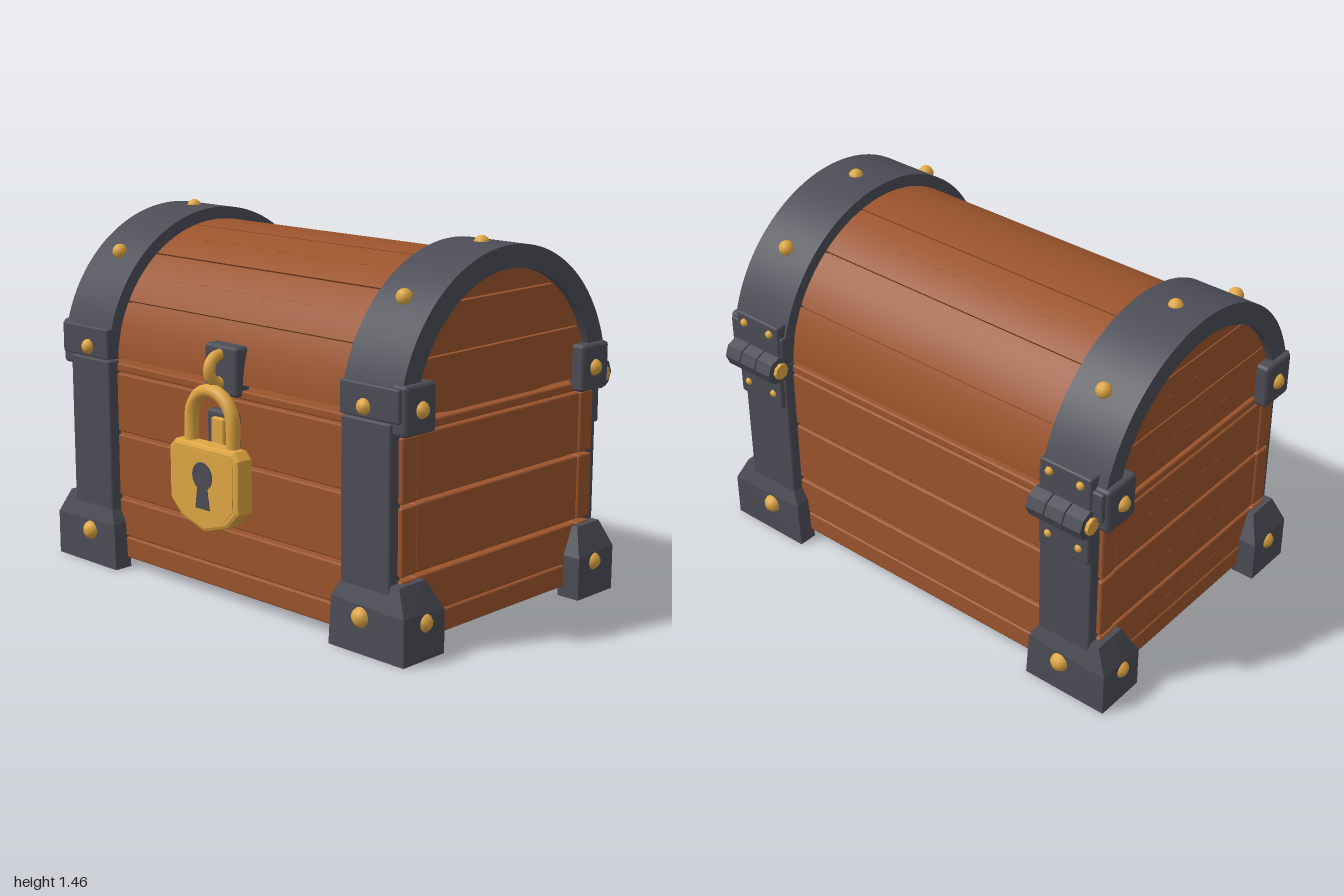
import * as THREE from 'three';
import { toCreasedNormals } from 'three/addons/utils/BufferGeometryUtils.js';
import { RoundedBoxGeometry } from 'three/addons/geometries/RoundedBoxGeometry.js';
import { ConvexGeometry } from 'three/addons/geometries/ConvexGeometry.js';

const material = (name, color) => {
  const m = new THREE.MeshStandardMaterial({ color });
  m.name = name;
  return m;
};

export function createModel() {
  const wood = material('wood', 0x9b542c);
  const iron = material('iron', 0x4c4d56);
  const brass = material('brass', 0xdfa642);

  const chest = new THREE.Group();
  chest.name = 'treasureChest';
  const CY = 0.84; // height of the lid's axis

  const add = (name, geo, mat, parent = chest) => {
    const mesh = new THREE.Mesh(geo, mat);
    mesh.name = name;
    parent.add(mesh);
    return mesh;
  };
  // Box given by its limits, with softened edges
  const block = (name, x0, x1, y0, y1, z0, z1, mat, parent = chest, r = 0.008) => {
    const geo = r ? new RoundedBoxGeometry(x1 - x0, y1 - y0, z1 - z0, 1, r)
      : new THREE.BoxGeometry(x1 - x0, y1 - y0, z1 - z0);
    const mesh = add(name, geo, mat, parent);
    mesh.position.set((x0 + x1) / 2, (y0 + y1) / 2, (z0 + z1) / 2);
  };
  const rivet = (x, y, z, parent, r = 0.034) =>
    add('rivet', new THREE.SphereGeometry(r, 10, 7), brass, parent).position.set(x, y, z);
  const polygon = (pts) => new THREE.Shape(pts.map((p) => new THREE.Vector2(p[0], p[1])));
  // Extrude a side-on shape along x, from x0 to x1
  const alongX = (shape, x0, x1) => {
    const geo = new THREE.ExtrudeGeometry(shape, { depth: x1 - x0, bevelEnabled: false, curveSegments: 32 });
    geo.rotateY(Math.PI / 2).translate(x0, 0, 0);
    return toCreasedNormals(geo, 0.5);
  };
  const arc = (rIn, rOut, a0, a1) => {
    const s = new THREE.Shape();
    s.absarc(0, CY, rOut, a0, a1, false);
    s.absarc(0, CY, rIn, a1, a0, true);
    return s;
  };

  // Body: core with separate planks on all four sides
  block('bodyCore', -0.84, 0.84, 0.05, 0.85, -0.49, 0.49, wood, chest, 0);
  block('bottomBoard', -0.9, 0.9, 0.041, 0.06, -0.55, 0.55, wood, chest, 0);
  const tiers = [[0.04, 0.128], [0.132, 0.288], [0.302, 0.56], [0.572, 0.815], [0.822, 0.857]];
  for (const [y0, y1] of tiers) {
    for (const s of [-1, 1]) {
      const zc = s * 0.515, xc = s * 0.865;
      block('longPlank', -0.91, 0.91, y0, y1, zc - 0.04, zc + 0.04, wood);
      block('endPlank', xc - 0.04, xc + 0.04, y0, y1, -0.474, 0.474, wood);
    }
  }

  // Lid: curved staves over a core, closed by end planks
  add('lidCore', alongX(arc(0.4, 0.535, 0.07, Math.PI - 0.07), -0.875, 0.875), wood);
  block('lidBase', -0.875, 0.875, 0.876, 0.89, -0.53, 0.53, wood, chest, 0);
  const STAVES = 7, a0 = 0.063, step = (Math.PI - 2 * a0) / STAVES;
  for (let i = 0; i < STAVES; i++) {
    const a = a0 + i * step;
    add('lidStave', alongX(arc(0.515, 0.552, a + 0.006, a + step - 0.006), -0.89, 0.89), wood);
  }
  for (const [y0, y1] of [[0.874, 1.077], [1.083, 1.262], [1.268, 1.36]]) {
    const right = [];
    for (let i = 0; i <= 8; i++) {
      const y = y0 + (y1 - y0) * i / 8;
      right.push([Math.sqrt(Math.max(0.0001, 0.522 ** 2 - (y - CY) ** 2)), y]);
    }
    const left = right.map(([z, y]) => [-z, y]).reverse();
    for (const x of [-0.9, 0.86]) add('lidEndPlank', alongX(polygon([...right, ...left]), x, x + 0.04), wood);
  }
  for (const x of [-0.87, 0.85]) add('lidEndCore', alongX(arc(0.001, 0.52, 0.07, Math.PI - 0.07), x, x + 0.02), wood);

  // Wood grain: fine raised slivers in the planks
  let seed = 7;
  const rand = () => (seed = (seed * 16807) % 2147483647) / 2147483647;
  const grain = new THREE.Group();
  grain.name = 'woodGrain';
  chest.add(grain);
  const slivers = (from, to, place) => {
    for (let t = from + rand() * 0.15; t < to - 0.06; t += 0.08 + rand() * 0.08) {
      const sliver = add('grainSliver', new THREE.BoxGeometry(0.02 + rand() * 0.03, 0.003, 0.003), wood, grain);
      place(sliver, t, (rand() - 0.5) * 0.012);
    }
  };
  const endSlivers = (s, y, x, half) => slivers(-half, half, (d, t, j) => {
    d.position.set(s * x, y + j, t);
    d.rotation.y = Math.PI / 2;
  });
  for (const s of [-1, 1]) {
    for (const y of [0.21, 0.43, 0.7]) {
      slivers(-0.55, 0.55, (d, t, j) => d.position.set(t, y + j, s * 0.555));
      endSlivers(s, y, 0.905, 0.36);
    }
    for (const y of [0.97, 1.17]) endSlivers(s, y, 0.9, 0.3);
  }
  for (let i = 0; i < STAVES; i++) {
    const mid = a0 + (i + 0.5) * step;
    slivers(-0.5, 0.5, (d, t, j) => {
      const a = mid + j;
      d.position.set(t, CY + 0.552 * Math.sin(a), 0.552 * Math.cos(a));
      d.rotation.x = -a;
    });
  }

  // Iron bands over the lid
  for (const s of [-1, 1]) {
    const x0 = s > 0 ? 0.65 : -0.93;
    add('lidBand', alongX(arc(0.515, 0.602, 0.06, Math.PI - 0.06), x0, x0 + 0.28), iron);
    rivet(s * 0.79, CY + 0.592, 0, chest, 0.032);
    for (const z of [-0.415, 0.415]) rivet(s * 0.785, 1.284, z, chest, 0.032);
  }

  // Foot cap plates: convex slabs whose outer faces lean inward near the top
  const lean = (limit, y, k) => limit - Math.max(0, y - 0.18) * k;
  const frontCap = new ConvexGeometry(
    [[0.61, 0], [0.98, 0], [0.98, 0.18], [0.93, 0.28], [0.67, 0.28], [0.62, 0.19]].flatMap(([x, y]) =>
      [0.54, lean(0.62, y, 0.3)].map((z) => new THREE.Vector3(x, y, z))));
  const sideCap = new ConvexGeometry(
    [[0.62, 0], [0.62, 0.18], [0.59, 0.28], [0.45, 0.28], [0.4, 0.17], [0.4, 0]].flatMap(([z, y]) =>
      [0.88, lean(0.98, y, 0.5)].map((x) => new THREE.Vector3(x, y, z))));

  // Four mirrored corners: strap, foot cap, lid bracket and rivets
  for (const sx of [-1, 1]) for (const sz of [-1, 1]) {
    const corner = new THREE.Group();
    corner.name = 'corner';
    corner.scale.set(sx, 1, sz);
    chest.add(corner);
    block('bodyStrap', 0.65, 0.89, 0.05, 0.868, 0.54, 0.6, iron, corner);
    add('footCapFront', frontCap, iron, corner);
    add('footCapSide', sideCap, iron, corner);
    block('lidBracketFront', 0.648, 0.935, 0.874, 1.0, 0.53, 0.606, iron, corner);
    block('lidBracketSide', 0.88, 0.953, 0.825, 1.01, 0.425, 0.59, iron, corner, 0.015);
    rivet(0.77, 0.14, 0.612, corner, 0.04);
    rivet(0.964, 0.14, 0.5, corner, 0.038);
    if (sz > 0) rivet(0.77, 0.916, 0.602, corner, 0.032);
    rivet(0.944, 0.916, 0.503, corner, 0.034);
  }

  // Hinges on the back
  for (const s of [-1, 1]) {
    const hinge = new THREE.Group();
    hinge.name = 'hinge';
    hinge.position.x = s * 0.775;
    chest.add(hinge);
    block('upperLeaf', -0.115, 0.115, 0.89, 1.05, -0.615, -0.53, iron, hinge);
    block('lowerLeaf', -0.115, 0.115, 0.67, 0.85, -0.62, -0.58, iron, hinge);
    const tube = (name, r, len, x, mat) => {
      const geo = new THREE.CylinderGeometry(r, r, len, 8).toNonIndexed();
      geo.computeVertexNormals();
      const mesh = add(name, geo, mat, hinge);
      mesh.rotation.z = Math.PI / 2;
      mesh.position.set(x, 0.865, -0.625);
    };
    for (const k of [-1, 0, 1]) tube('knuckle', 0.06, 0.078, k * 0.084, iron);
    tube('hingePin', 0.034, 0.275, 0, brass);
    for (const x of [-0.07, 0.07]) for (const y of [0.73, 1.01]) rivet(x, y, -0.616, hinge, 0.017);
  }

  // Hasp plates with brass loops
  block('upperHaspPlate', -0.09, 0.09, 0.83, 1.025, 0.51, 0.585, iron, chest, 0.015);
  block('lowerHaspPlate', -0.08, 0.08, 0.6, 0.77, 0.54, 0.585, iron, chest, 0.015);
  const loop = add('haspLoop', new THREE.TorusGeometry(0.055, 0.023, 8, 20), brass);
  loop.rotation.y = Math.PI / 2;
  loop.position.set(0, 0.935, 0.585);
  block('lowerStaple', -0.035, 0.035, 0.6, 0.745, 0.57, 0.605, brass);

  // Padlock
  const padlock = new THREE.Group();
  padlock.name = 'padlock';
  chest.add(padlock);
  const shield = (k) => polygon([[0, -0.175], [0.13, -0.135], [0.195, -0.07], [0.195, 0.14], [0.165, 0.17],
    [-0.165, 0.17], [-0.195, 0.14], [-0.195, -0.07], [-0.13, -0.135]].map(([x, y]) => [x * k, y * k + 0.48]));
  add('lockBody', new THREE.ExtrudeGeometry(shield(1), {
    depth: 0.05, bevelSize: 0.015, bevelOffset: -0.015, bevelThickness: 0.015, bevelSegments: 2,
  }).translate(0, 0, 0.614), brass, padlock);
  add('lockFace', new THREE.ExtrudeGeometry(shield(0.85), { depth: 0.005, bevelEnabled: false })
    .translate(0, 0, 0.677), brass, padlock);
  const path = new THREE.CurvePath();
  const arch = [];
  for (let i = 0; i <= 12; i++) {
    const a = Math.PI * i / 12;
    arch.push(new THREE.Vector3(0.117 * Math.cos(a), 0.737 + 0.117 * Math.sin(a), 0.628));
  }
  path.add(new THREE.LineCurve3(new THREE.Vector3(0.117, 0.62, 0.628), arch[0]));
  path.add(new THREE.CatmullRomCurve3(arch));
  path.add(new THREE.LineCurve3(arch[12], new THREE.Vector3(-0.117, 0.62, 0.628)));
  add('shackle', new THREE.TubeGeometry(path, 40, 0.028, 10), brass, padlock);
  const hole = new THREE.Shape();
  hole.absarc(0, 0.53, 0.055, -1.05, Math.PI + 1.05, false);
  hole.lineTo(-0.04, 0.4);
  hole.lineTo(0.04, 0.4);
  add('keyhole', new THREE.ExtrudeGeometry(hole, { depth: 0.005, bevelEnabled: false })
    .translate(0, 0, 0.68), iron, padlock);

  return chest;
}
